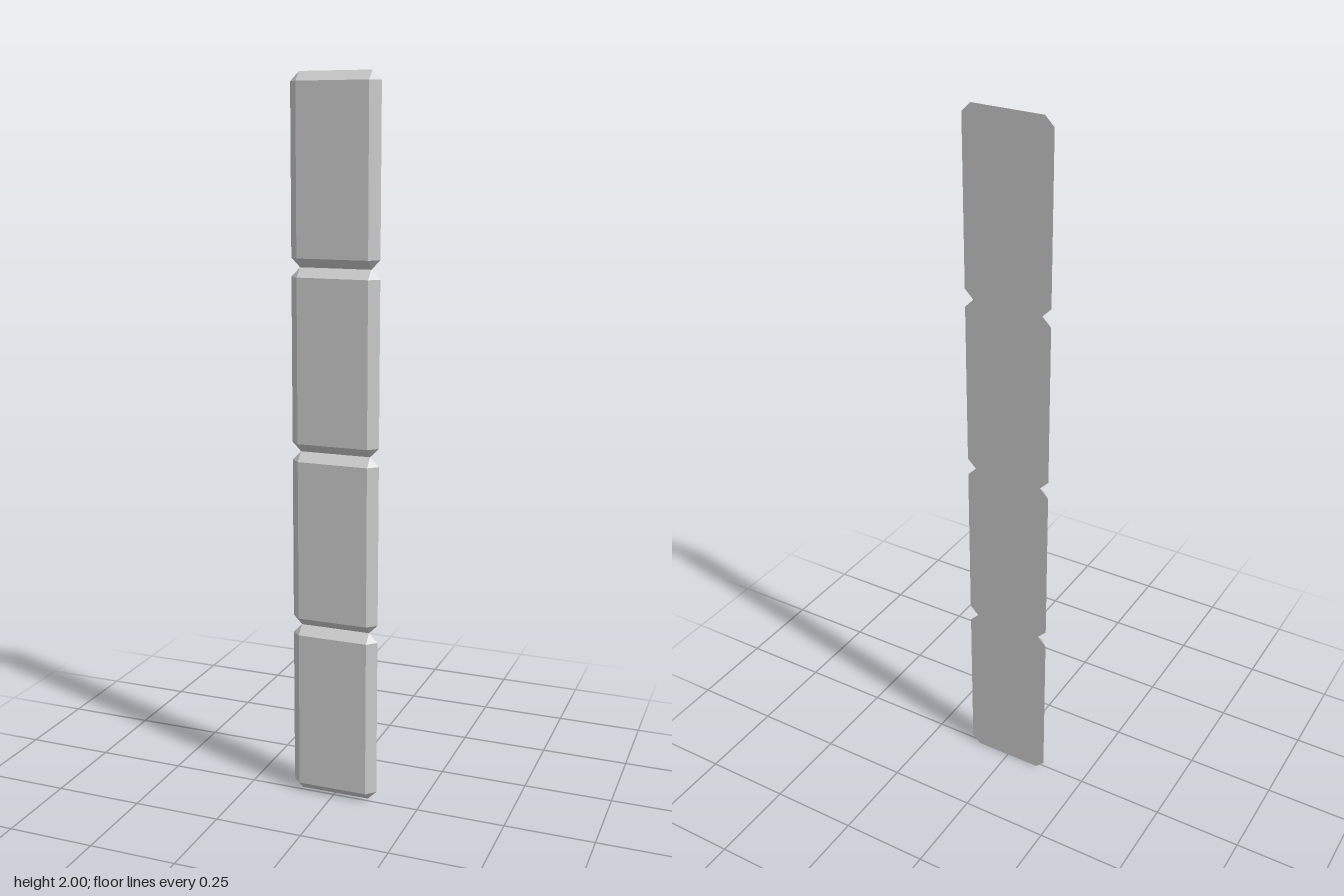
import * as THREE from 'three';
import { ConvexGeometry } from 'three/addons/geometries/ConvexGeometry.js';

const COUNT = 4;
const PITCH = 0.5;      // height of one tile
const HALF_W = 0.125;   // half width at the back
const BEVEL = 0.025;    // bevel width on every side
const HALF_D = 0.0125;  // half thickness

// Flat tile: small front rectangle bevelled out to a back plate with cut corners
function tileGeometry() {
  const w = HALF_W, h = PITCH / 2, b = BEVEL;
  const points = [];
  for (const sx of [-1, 1]) {
    for (const sy of [-1, 1]) {
      points.push(
        new THREE.Vector3(sx * (w - b), sy * (h - b), HALF_D),
        new THREE.Vector3(sx * w, sy * (h - b), -HALF_D),
        new THREE.Vector3(sx * (w - b), sy * h, -HALF_D)
      );
    }
  }
  return new ConvexGeometry(points);
}

export function createModel() {
  const group = new THREE.Group();
  group.name = 'bevelledTileStrip';
  const material = new THREE.MeshStandardMaterial({ color: 0xcccccc, flatShading: true });
  const geometry = tileGeometry();

  // Column of identical tiles stacked edge to edge
  for (let i = 0; i < COUNT; i++) {
    const tile = new THREE.Mesh(geometry, material);
    tile.name = `tile${i + 1}`;
    tile.position.y = (i + 0.5) * PITCH;
    group.add(tile);
  }
  return group;
}
